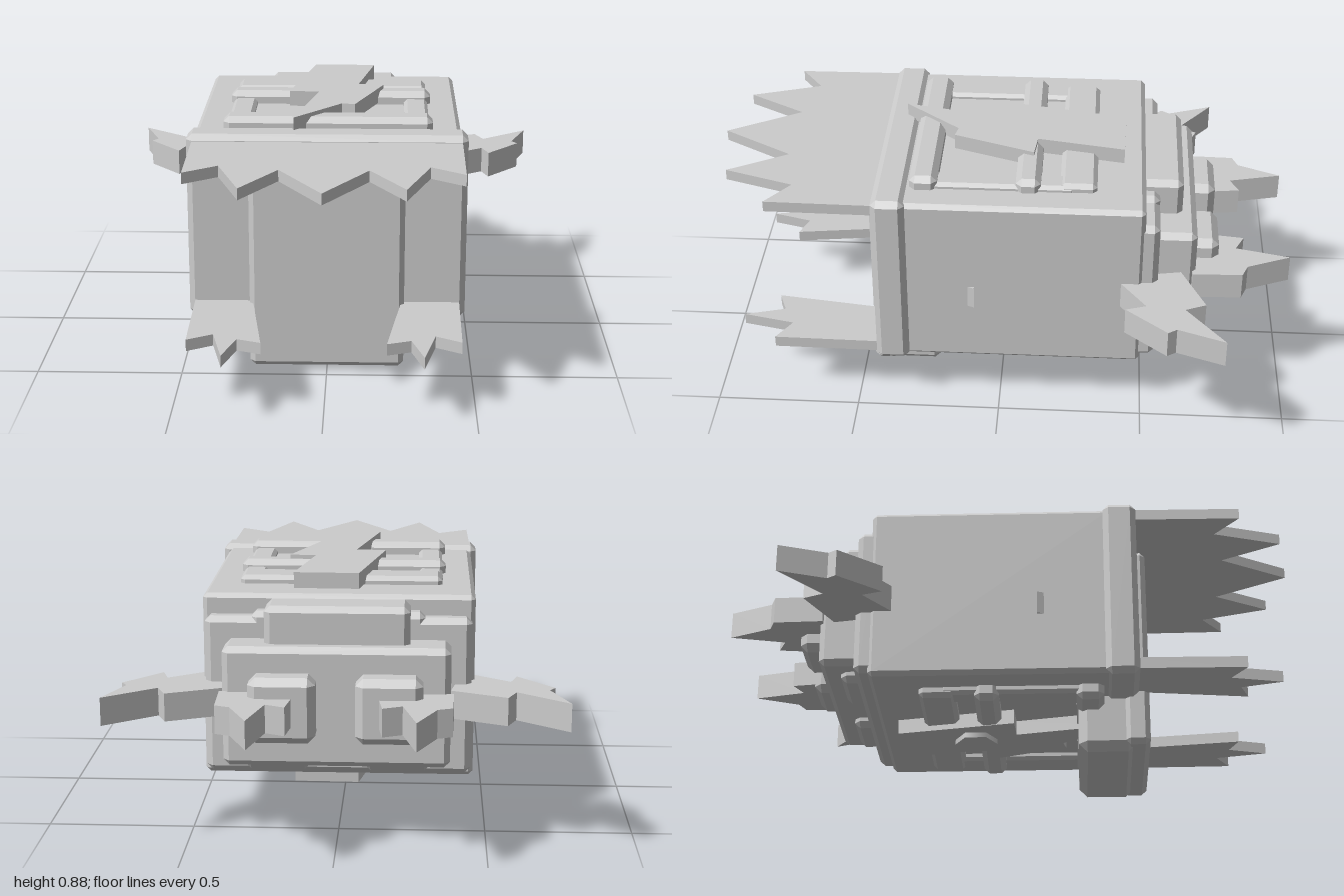
import * as THREE from 'three';
import { ConvexGeometry } from 'three/addons/geometries/ConvexGeometry.js';

export function createModel() {
  const model = new THREE.Group();
  model.name = 'armouredGauntlet';
  const grey = new THREE.MeshStandardMaterial({ color: 0xcccccc });
  grey.name = 'plain grey';

  function add(name, geometry) {
    const mesh = new THREE.Mesh(geometry, grey);
    mesh.name = name;
    model.add(mesh);
  }

  // Box with chamfered edges, given by its limits
  function block(name, x0, x1, y0, y1, z0, z1, c = 0.02) {
    const points = [];
    const mid = [(x0 + x1) / 2, (y0 + y1) / 2, (z0 + z1) / 2];
    const half = [(x1 - x0) / 2, (y1 - y0) / 2, (z1 - z0) / 2];
    for (const sx of [-1, 1]) for (const sy of [-1, 1]) for (const sz of [-1, 1]) {
      const s = [sx, sy, sz];
      for (let axis = 0; axis < 3; axis++) {
        const p = s.map((v, i) => mid[i] + v * (half[i] - (i === axis ? 0 : c)));
        points.push(new THREE.Vector3(...p));
      }
    }
    add(name, new ConvexGeometry(points));
  }

  // Flat plate cut from an outline in x and z
  function plate(name, outline, y0, y1) {
    const shape = new THREE.Shape(outline.map(([x, z]) => new THREE.Vector2(x, z)));
    const g = new THREE.ExtrudeGeometry(shape, { depth: y1 - y0, bevelEnabled: false });
    g.rotateX(Math.PI / 2).translate(0, y1, 0);
    add(name, g);
  }
  const mirror = (outline) => outline.map(([x, z]) => [-x, z]);

  // Body, cuff and front shield
  block('body', -0.455, 0.455, 0.2, 0.825, -0.49, 0.34, 0.015);
  block('frontCuff', -0.475, 0.475, 0.19, 0.84, 0.315, 0.43);
  block('frontShield', -0.265, 0.265, 0.02, 0.76, 0.38, 0.466, 0.018);
  block('shieldFoot', -0.25, 0.25, 0.005, 0.24, 0.22, 0.42, 0.03);

  // Stepped rear armour
  block('rearPlate', -0.445, 0.445, 0.22, 0.757, -0.54, -0.45);
  block('rearInnerPlate', -0.375, 0.375, 0.28, 0.685, -0.67, -0.5);
  block('rearUpperRidge', -0.24, 0.24, 0.66, 0.81, -0.62, -0.44);
  block('rearUpperStep', -0.29, 0.29, 0.66, 0.775, -0.54, -0.46);
  for (const s of [-1, 1]) {
    block('rearBoss', s * 0.175 - 0.11, s * 0.175 + 0.11, 0.38, 0.6, -0.752, -0.63, 0.025);
    block('rearLowerStep', s * 0.2 - 0.11, s * 0.2 + 0.11, 0.245, 0.34, -0.6, -0.5);
  }

  // Frames of bars and rails on the top and the underside
  for (const top of [true, false]) {
    const side = top ? 'top' : 'bottom';
    const bar = (name, x0, x1, h, z0, z1, c) => top
      ? block(name, x0, x1, 0.8, 0.82 + h, z0, z1, c)
      : block(name, x0, x1, 0.2 - h, 0.22, z0, z1, c);
    bar(side + 'FrontBar', -0.358, 0.358, 0.05, 0.215, 0.31);
    bar(side + 'MiddleBar', -0.358, 0.358, 0.05, -0.135, -0.05);
    bar(side + 'RearBar', -0.345, 0.345, 0.033, -0.325, -0.2, 0.015);
    for (const s of [-1, 1]) {
      const x = s * 0.305;
      bar(side + 'Rail', x - 0.042, x + 0.042, 0.025, -0.25, 0.25, 0.012);
    }
  }

  // Jagged bolt badges
  const bolt = [[-0.065, -0.42], [0.155, -0.415], [0.1, -0.115], [0.19, -0.105], [0.09, 0.175],
    [0.045, 0.165], [-0.115, 0.36], [-0.04, 0], [-0.145, -0.005]];
  plate('topBolt', bolt, 0.83, 0.884);
  plate('bottomBolt', bolt, 0.148, 0.2);
  const hub = new THREE.CylinderGeometry(0.075, 0.075, 0.04, 6);
  hub.translate(0, 0.15, -0.145);
  add('bottomHub', hub.toNonIndexed());

  // Jagged fringes at the front
  const half = [[0.455, 0.4], [0.45, 0.79], [0.34, 0.71], [0.26, 0.95], [0.145, 0.75]];
  plate('upperFringe', [...half, [0, 0.995], ...mirror(half).reverse()], 0.78, 0.818);
  const lower = [[0.455, 0.4], [0.45, 0.79], [0.365, 0.74], [0.325, 0.92], [0.285, 0.78],
    [0.205, 0.81], [0.26, 0.4]];

  // Spiked fins at the sides and rear
  const sideFin = [[0.76, -0.76], [0.59, -0.63], [0.56, -0.7], [0.375, -0.62], [0.39, -0.54],
    [0.455, -0.415], [0.577, -0.5], [0.6, -0.43], [0.72, -0.57], [0.7, -0.6]];
  const rearFin = [[0.14, -0.73], [0.155, -0.845], [0.22, -0.815], [0.265, -1], [0.33, -0.85],
    [0.38, -0.83], [0.385, -0.66], [0.28, -0.65]];
  for (const [name, f] of [['left', (o) => o], ['right', mirror]]) {
    plate(name + 'LowerFringe', f(lower), 0.21, 0.25);
    plate(name + 'SideFin', f(sideFin), 0.44, 0.535);
    plate(name + 'RearFin', f(rearFin), 0.44, 0.535);
    // Small catch on the flank
    plate(name + 'Catch', f([[0.44, 0.085], [0.465, 0.085], [0.455, 0.108], [0.44, 0.108]]), 0.42, 0.5);
  }
  return model;
}
